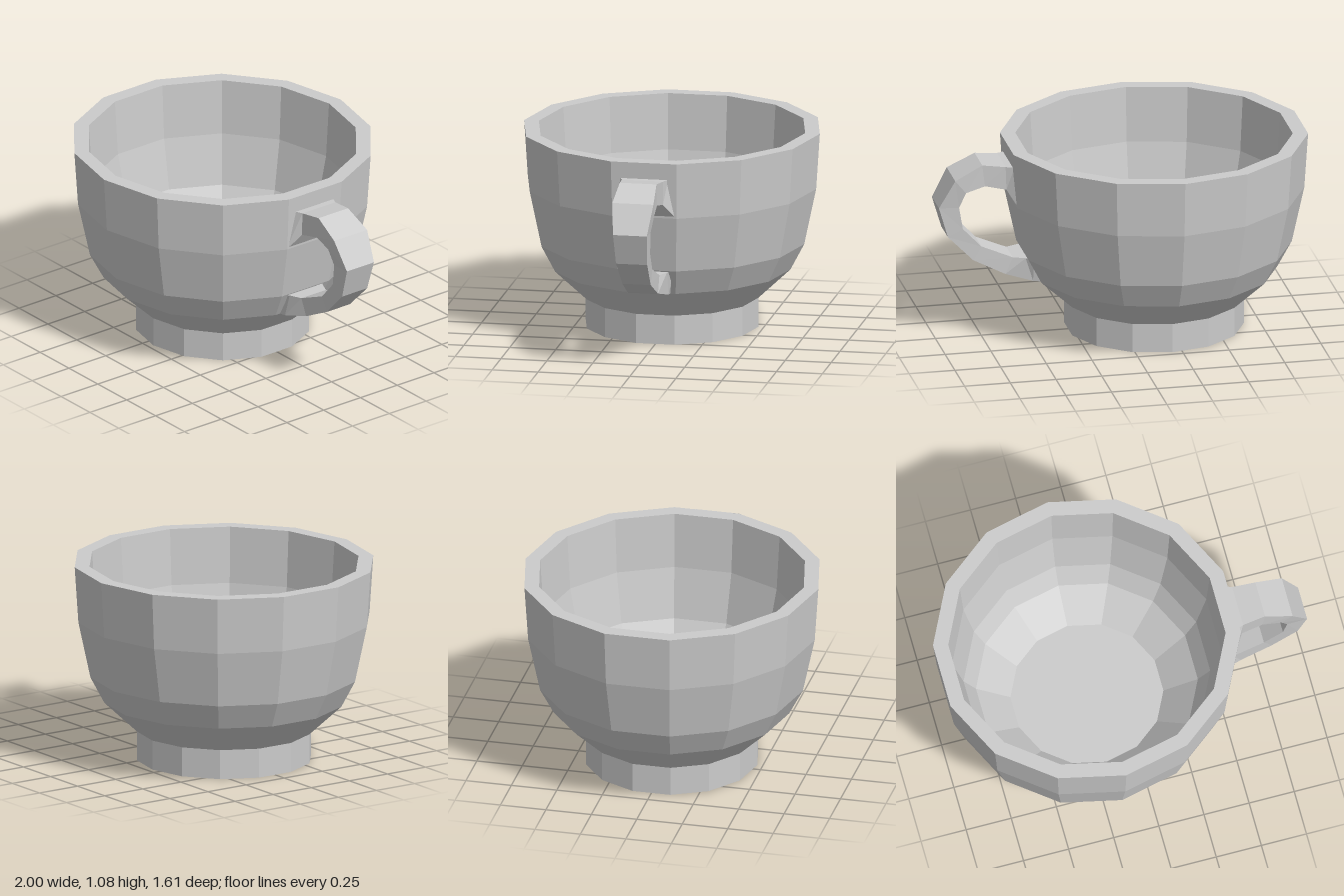
import * as THREE from 'three';

const SIDES = 14;
const CENTRE_X = -0.195;

// Low-poly turned part from [radius, height] pairs, slightly wider along x
function turned(name, profile, material) {
  const points = profile.map(([r, y]) => new THREE.Vector2(r, y));
  const mesh = new THREE.Mesh(new THREE.LatheGeometry(points, SIDES), material);
  mesh.name = name;
  mesh.scale.x = 1.025;
  mesh.position.x = CENTRE_X;
  return mesh;
}

// Four-sided loop handle swept through cross-sections
// [outerX, outerY, innerX, innerY, outerHalfWidth, innerHalfWidth]
function handleGeometry(sections) {
  const positions = [];
  const index = [];
  sections.forEach(([ox, oy, ix, iy, wo, wi], s) => {
    positions.push(ox, oy, wo, ox, oy, -wo, ix, iy, -wi, ix, iy, wi);
    if (s === 0) return;
    for (let j = 0; j < 4; j++) {
      const k = (j + 1) % 4;
      const a = (s - 1) * 4;
      const b = s * 4;
      index.push(a + j, b + j, b + k, a + j, b + k, a + k);
    }
  });
  const geometry = new THREE.BufferGeometry();
  geometry.setAttribute('position', new THREE.Float32BufferAttribute(positions, 3));
  geometry.setIndex(index);
  geometry.computeVertexNormals();
  return geometry;
}

export function createModel() {
  const group = new THREE.Group();
  group.name = 'cup';
  const material = new THREE.MeshStandardMaterial({ color: 0xcccccc, flatShading: true });

  // Foot ring with closed underside
  group.add(turned('foot', [[0, 0], [0.47, 0], [0.47, 0.16]], material));

  // Bowl: outer wall, rim, inner wall and floor
  group.add(turned('bowl', [
    [0.47, 0.16], [0.645, 0.325], [0.72, 0.468], [0.785, 0.775], [0.805, 1.08],
    [0.725, 1.08], [0.705, 0.775], [0.645, 0.5], [0.58, 0.375], [0.4, 0.22], [0, 0.22],
  ], material));

  // Handle, flared where it meets the wall at both ends
  const handle = new THREE.Mesh(handleGeometry([
    [0.595, 0.99, 0.58, 0.77, 0.13, 0.175],
    [0.64, 0.99, 0.635, 0.86, 0.112, 0.11],
    [0.765, 1.005, 0.75, 0.885, 0.1, 0.1],
    [0.915, 0.93, 0.855, 0.855, 0.112, 0.105],
    [1.0, 0.775, 0.89, 0.77, 0.092, 0.092],
    [0.95, 0.605, 0.868, 0.645, 0.085, 0.085],
    [0.81, 0.46, 0.765, 0.535, 0.077, 0.077],
    [0.635, 0.37, 0.595, 0.462, 0.083, 0.083],
    [0.49, 0.33, 0.53, 0.462, 0.112, 0.112],
    [0.43, 0.322, 0.49, 0.462, 0.115, 0.14],
  ]), material);
  handle.name = 'handle';
  group.add(handle);

  return group;
}
